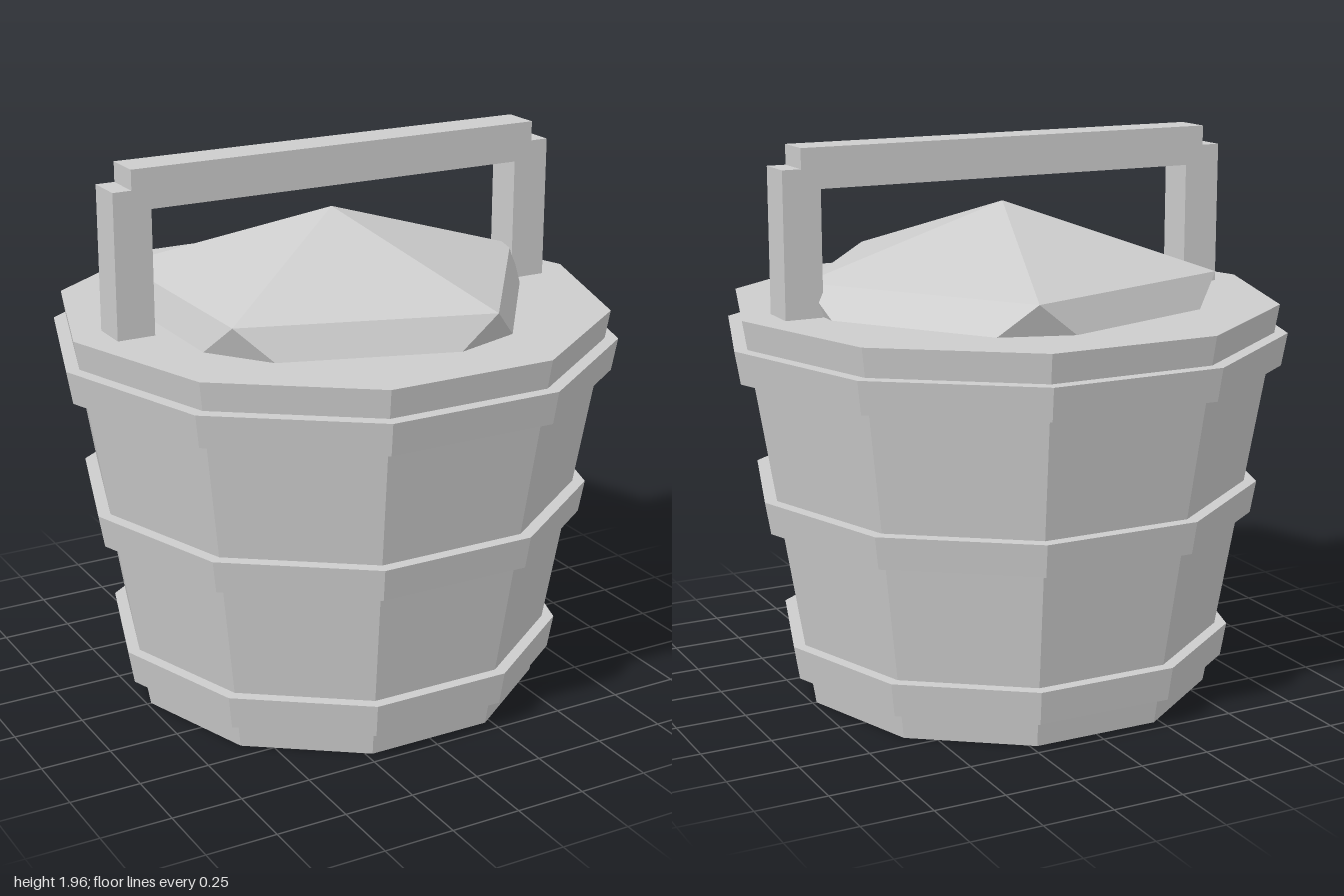
import * as THREE from 'three';
import { ConvexGeometry } from 'three/addons/geometries/ConvexGeometry.js';

export function createModel() {
  const group = new THREE.Group();
  const grey = new THREE.MeshStandardMaterial({ color: 0xcccccc });
  grey.name = 'plainGrey';
  grey.flatShading = true;

  const add = (name, geometry, x = 0, y = 0, z = 0) => {
    const mesh = new THREE.Mesh(geometry, grey);
    mesh.name = name;
    mesh.position.set(x, y, z);
    group.add(mesh);
  };

  // Ten-sided tapered solid with corners on the x axis
  const frustum = (name, y0, y1, r0, r1) =>
    add(name, new THREE.CylinderGeometry(r1, r0, y1 - y0, 10, 1, false, Math.PI / 2), 0, (y0 + y1) / 2);

  // Tapered bucket and its three hoops
  frustum('bucket', 0, 1.39, 0.735, 0.97);
  frustum('lowerHoop', 0.1, 0.22, 0.795, 0.815);
  frustum('middleHoop', 0.64, 0.755, 0.887, 0.907);
  frustum('upperHoop', 1.175, 1.29, 0.98, 1.0);

  // Faceted heap: a flattened icosahedron standing on its tip, sunk into the bucket
  const points = [new THREE.Vector3(0, 1.73, 0), new THREE.Vector3(0, 0.9, 0)];
  for (let i = 0; i < 10; i++) {
    const a = (i * Math.PI) / 5;
    points.push(new THREE.Vector3(0.745 * Math.cos(a), i % 2 ? 1.13 : 1.5, 0.745 * Math.sin(a)));
  }
  add('contents', new ConvexGeometry(points));

  // Handle: two posts joined by a crossbar
  for (const side of [-1, 1]) {
    add(side > 0 ? 'leftPost' : 'rightPost', new THREE.BoxGeometry(0.135, 0.54, 0.138), side * 0.774, 1.62, 0);
  }
  add('crossbar', new THREE.BoxGeometry(1.55, 0.138, 0.138), 0, 1.89, 0);

  return group;
}
